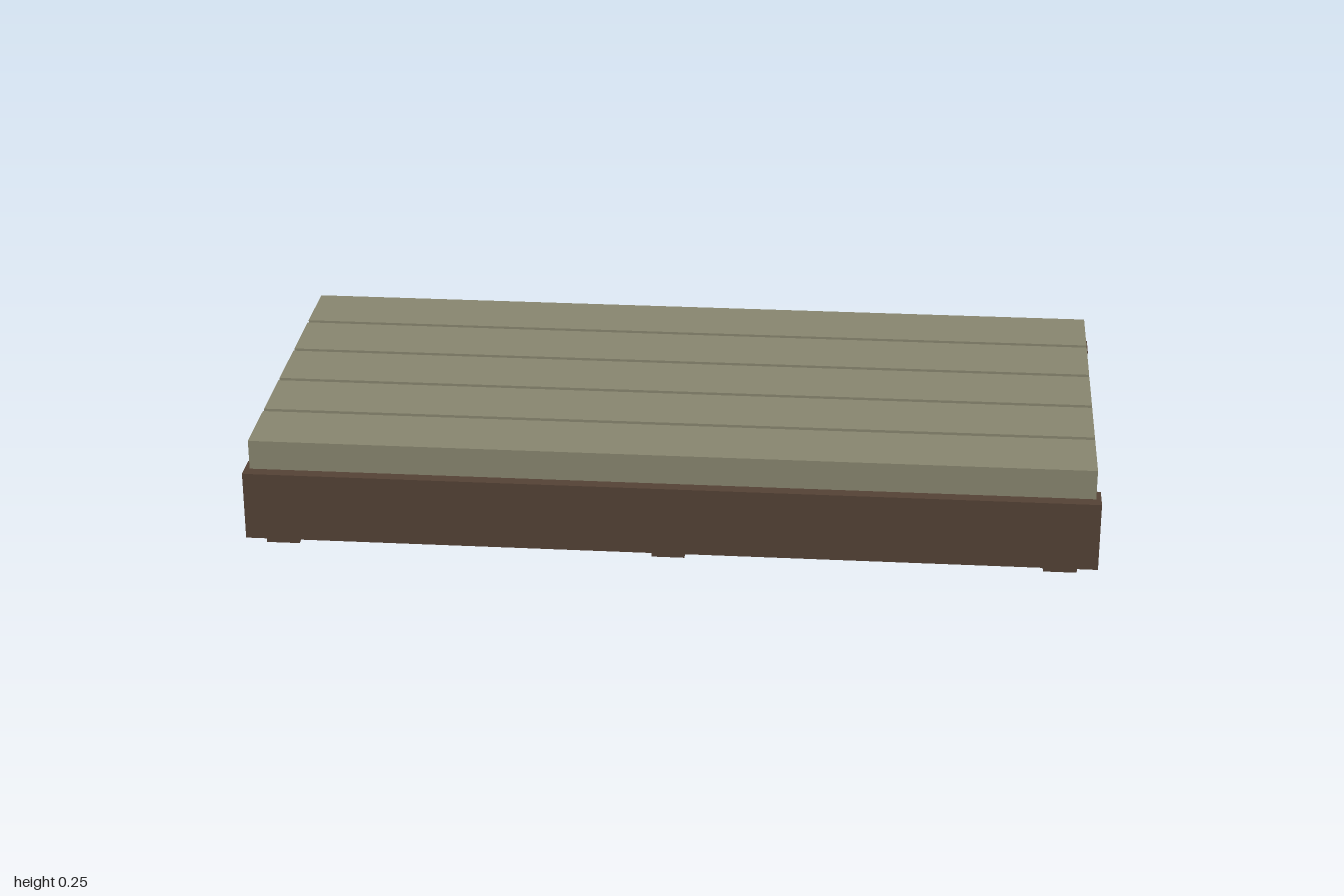
import * as THREE from 'three';

export function createModel() {
  const group = new THREE.Group();
  const plankWood = new THREE.MeshStandardMaterial({ color: 0x88866f });
  plankWood.name = 'weathered plank wood';
  const frameWood = new THREE.MeshStandardMaterial({ color: 0x544235 });
  frameWood.name = 'dark frame wood';

  // Box placed by its bottom height
  function beam(name, material, width, height, depth, x, bottom, z) {
    const mesh = new THREE.Mesh(new THREE.BoxGeometry(width, height, depth), material);
    mesh.name = name;
    mesh.position.set(x, bottom + height / 2, z);
    group.add(mesh);
  }

  // Long side rails
  for (const side of [-1, 1]) {
    beam(side > 0 ? 'frontRail' : 'backRail', frameWood, 2, 0.167, 0.07, 0, 0.013, side * 0.445);
  }

  // Cross beams under the deck
  for (let i = -1; i <= 1; i++) {
    beam(`crossBeam${i + 2}`, frameWood, 0.078, 0.085, 0.946, i * 0.913, 0, 0);
  }

  // Deck planks
  for (let i = -2; i <= 2; i++) {
    beam(`deckPlank${i + 3}`, plankWood, 1.976, 0.09, 0.169, 0, 0.162, i * 0.183);
  }

  return group;
}
